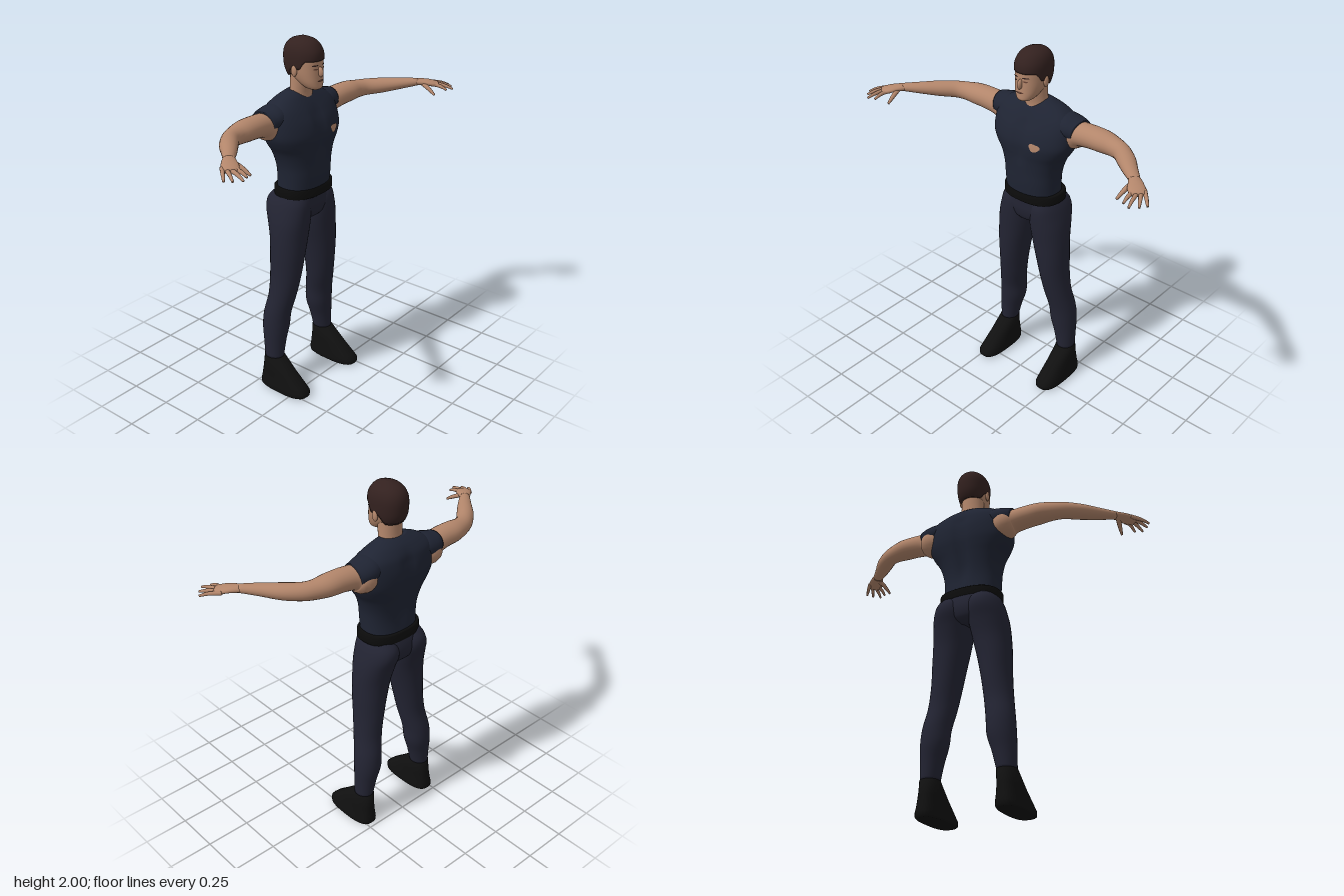
import * as THREE from 'three';

const mat = (name, color, side = THREE.FrontSide) => {
  const m = new THREE.MeshStandardMaterial({ color, side });
  m.name = name;
  return m;
};
const V = (x, y, z) => new THREE.Vector3(x, y, z);
const smooth = THREE.MathUtils.smoothstep;

// Closed smooth skin over a list of rings, with both ends capped
function skinRings(rings) {
  const n = rings[0].length, pos = [], idx = [];
  rings.forEach(r => r.forEach(p => pos.push(p.x, p.y, p.z)));
  for (let i = 0; i < rings.length - 1; i++) for (let j = 0; j < n; j++) {
    const k = (j + 1) % n, a = i * n + j, b = i * n + k, c = a + n, d = b + n;
    idx.push(a, c, b, b, c, d);
  }
  [0, rings.length - 1].forEach((r, end) => {
    const c = rings[r].reduce((s, p) => s.add(p), V(0, 0, 0)).divideScalar(n);
    const ci = pos.length / 3;
    pos.push(c.x, c.y, c.z);
    for (let j = 0; j < n; j++) {
      const a = r * n + j, b = r * n + (j + 1) % n;
      if (end) idx.push(ci, b, a); else idx.push(ci, a, b);
    }
  });
  const g = new THREE.BufferGeometry();
  g.setAttribute('position', new THREE.Float32BufferAttribute(pos, 3));
  g.setIndex(idx);
  g.computeVertexNormals();
  return g;
}

// Catmull-Rom refinement of section rows
function refine(rows, steps = 4) {
  const out = [], at = i => rows[Math.max(0, Math.min(rows.length - 1, i))];
  for (let i = 0; i < rows.length - 1; i++) for (let s = 0; s < steps; s++) {
    const t = s / steps, [a, b, c, d] = [at(i - 1), at(i), at(i + 1), at(i + 2)];
    out.push(b.map((v, k) => v + 0.5 * t * (c[k] - a[k] + t * (2 * a[k] - 5 * v + 4 * c[k] - d[k] + t * (3 * (v - c[k]) + d[k] - a[k])))));
  }
  out.push(at(rows.length - 1));
  return out;
}
function rowAt(rows, y) {
  let i = 0;
  while (i < rows.length - 2 && rows[i + 1][0] < y) i++;
  const a = rows[i], b = rows[i + 1], t = THREE.MathUtils.clamp((y - a[0]) / (b[0] - a[0]), 0, 1);
  return a.map((v, k) => v + (b[k] - v) * t);
}

// Upright sections: [y, centre x, half width, front z, back z, squareness]
const sp = (v, e) => Math.sign(v) * Math.abs(v) ** (2 / e);
function bodyPoint([y, xc, rx, zf, zb, e], a, shape) {
  const p = V(xc + rx * sp(Math.cos(a), e), y, (zf + zb) / 2 + (zf - zb) / 2 * sp(Math.sin(a), e));
  if (shape) shape(p, Math.sin(a));
  return p;
}
const angles = n => Array.from({ length: n }, (_, j) => j / n * Math.PI * 2);
const body = (rows, shape, n = 40) => skinRings(rows.map(r => angles(n).map(a => bodyPoint(r, a, shape))));

// Limb along a path: [x, y, z, horizontal radius, vertical radius]
function limb(path, n = 16, steps = 4) {
  const rows = refine(path, steps);
  return skinRings(rows.map((r, i) => {
    const p = rows[Math.max(0, i - 1)], q = rows[Math.min(rows.length - 1, i + 1)];
    const T = V(q[0] - p[0], q[1] - p[1], q[2] - p[2]).normalize();
    const U = T.clone().cross(V(0, 1, 0)).normalize(), W = U.clone().cross(T);
    return angles(n).map(a => V(r[0], r[1], r[2]).addScaledVector(U, r[3] * Math.cos(a)).addScaledVector(W, r[4] * Math.sin(a)));
  }));
}

function mirrored(g) {
  const m = g.clone().scale(-1, 1, 1), ix = m.index.array;
  for (let i = 0; i < ix.length; i += 3) [ix[i], ix[i + 1]] = [ix[i + 1], ix[i]];
  m.computeVertexNormals();
  return m;
}

// Thin plate lying on the front of a body surface
function patch(rows, shape, x, y, rx, ry, wobble = 0) {
  const put = (px, py) => {
    const r = rowAt(rows, py), c = sp((px - r[1]) / r[2], 4 / r[5]);
    const p = bodyPoint(r, Math.acos(THREE.MathUtils.clamp(c, -1, 1)), null);
    p.x = px;
    const u = Math.abs((px - r[1]) / r[2]);
    p.z = (r[3] + r[4]) / 2 + (r[3] - r[4]) / 2 * (1 - u ** r[5]) ** (1 / r[5]);
    if (shape) shape(p, 1);
    p.z += 0.005;
    return p;
  };
  const pts = [put(x, y), ...angles(18).map(a => {
    const k = 1 + wobble * Math.sin(3 * a + 0.6);
    return put(x + rx * k * Math.cos(a), y + ry * k * Math.sin(a));
  })];
  const g = new THREE.BufferGeometry().setFromPoints(pts), idx = [];
  for (let j = 0; j < 18; j++) idx.push(0, 1 + j, 1 + (j + 1) % 18);
  g.setIndex(idx);
  g.computeVertexNormals();
  return g;
}

export function createModel() {
  const model = new THREE.Group();
  model.name = 'standingMan';
  const skin = mat('skin', 0xb3866b), shirt = mat('shirtNavy', 0x1f2433), cloth = mat('trouserNavy', 0x232433);
  const black = mat('beltBlack', 0x0c0c0c), shoe = mat('shoeBlack', 0x101010), hair = mat('hairBrown', 0x33211f);
  const detail = mat('faceDetail', 0x6b4638, THREE.DoubleSide), bare = mat('chestSkin', 0xb3866b, THREE.DoubleSide);
  const add = (name, g, m) => {
    const mesh = new THREE.Mesh(g, m);
    mesh.name = name;
    model.add(mesh);
  };
  const pair = (name, g, m) => {
    add('left' + name, g, m);
    add('right' + name, mirrored(g), m);
  };

  // Shirt, with chest and spine grooves
  const torso = refine([
    [1.18, 0, .155, 0, -.228, 2.4], [1.27, 0, .158, .007, -.222, 2.4], [1.34, 0, .165, .008, -.228, 2.4],
    [1.41, 0, .188, .012, -.242, 2.4], [1.46, 0, .22, .018, -.254, 2.4], [1.51, 0, .243, .018, -.264, 2.4],
    [1.57, 0, .245, .002, -.266, 2.4], [1.62, 0, .236, -.024, -.258, 2.5], [1.655, 0, .215, -.046, -.246, 2.5],
    [1.69, 0, .165, -.07, -.222, 2.3], [1.712, 0, .115, -.086, -.2, 2.1], [1.725, 0, .082, -.1, -.182, 2]]);
  const groove = (p, s) => {
    const g = Math.exp(-((p.x / .03) ** 2)), h = smooth(p.y, 1.35, 1.47) * (1 - smooth(p.y, 1.58, 1.68));
    if (s > .3) p.z -= .014 * g * h;
    if (s < -.3) p.z += .016 * g * smooth(p.y, 1.2, 1.35) * (1 - smooth(p.y, 1.6, 1.7));
  };
  add('shirt', body(torso, groove, 56), shirt);
  pair('Sleeve', limb([[.12, 1.615, -.15, .07, .06], [.18, 1.612, -.152, .086, .066], [.23, 1.605, -.155, .084, .062], [.268, 1.599, -.152, .072, .06]], 24), shirt);
  add('chestPatch', patch(torso, groove, .1, 1.512, .031, .021, .14), bare);

  // Belt
  add('belt', body([[1.158, .004, .164, .003, -.236, 2.5], [1.162, .004, .172, .008, -.242, 2.5],
    [1.206, .004, .172, .006, -.24, 2.5], [1.212, .004, .162, 0, -.232, 2.5]], null, 40), black);

  // Trousers
  add('trouserSeat', body(refine([[1.015, 0, .07, -.05, -.2, 2], [1.04, 0, .14, -.02, -.235, 2.2], [1.09, 0, .18, -.006, -.25, 2.3],
    [1.14, 0, .172, -.004, -.245, 2.3], [1.19, 0, .155, -.004, -.228, 2.4]]), null), cloth);
  pair('TrouserLeg', body(refine([
    [.195, .215, .05, -.1, -.212, 2], [.29, .204, .062, -.095, -.222, 2], [.38, .19, .075, -.085, -.236, 2],
    [.47, .182, .075, -.076, -.232, 2], [.58, .163, .076, -.052, -.212, 2], [.7, .147, .08, -.03, -.212, 2],
    [.82, .134, .09, -.018, -.215, 2.1], [.92, .12, .1, -.012, -.222, 2.1], [1.01, .108, .103, -.006, -.243, 2.2],
    [1.08, .099, .097, -.003, -.266, 2.2], [1.13, .095, .085, -.006, -.26, 2.2], [1.17, .09, .07, -.02, -.225, 2.2]]), null, 28), cloth);

  // Shoes
  pair('Shoe', body([[.004, .222, .06, .075, -.222, 2.8], [.012, .222, .067, .088, -.232, 2.8], [.035, .221, .066, .09, -.234, 2.8],
    [.06, .22, .063, .066, -.23, 2.6], [.12, .218, .057, -.005, -.222, 2.4], [.2, .215, .052, -.098, -.214, 2.1]], null, 28), shoe);

  // Arms
  pair('Arm', limb([
    [.17, 1.58, -.155, .07, .075], [.225, 1.574, -.158, .084, .08], [.265, 1.588, -.15, .068, .064], [.34, 1.598, -.145, .065, .059],
    [.42, 1.6, -.142, .064, .056], [.49, 1.599, -.132, .052, .049], [.55, 1.6, -.108, .046, .045],
    [.62, 1.604, -.05, .046, .041], [.69, 1.611, .02, .038, .031], [.765, 1.617, .09, .027, .02]], 24), skin);
  // Hands
  pair('Palm', limb([[.75, 1.617, .076, .026, .019], [.785, 1.616, .112, .036, .017], [.815, 1.61, .146, .043, .016], [.842, 1.604, .176, .036, .011]]), skin);
  const fingers = { LittleFinger: [.86, .142, .915, .202], RingFinger: [.85, .163, .893, .236], MiddleFinger: [.833, .178, .857, .266], IndexFinger: [.81, .187, .817, .251] };
  for (const [name, [x, z, tx, tz]] of Object.entries(fingers))
    pair(name, limb([[x - .018, 1.607, z - .022, .01, .01], [x, 1.604, z, .011, .011],
      [(x + tx) / 2, 1.599, (z + tz) / 2, .0095, .0095], [tx, 1.586, tz, .006, .006]], 8, 3), skin);
  pair('Thumb', limb([[.775, 1.613, .11, .016, .012], [.764, 1.6, .15, .013, .012], [.758, 1.582, .185, .01, .01], [.754, 1.565, .213, .006, .006]], 8, 3), skin);

  // Neck and head
  add('neck', body(refine([[1.6, 0, .075, -.075, -.2, 2], [1.67, 0, .074, -.068, -.19, 2], [1.72, 0, .066, -.068, -.178, 2], [1.82, 0, .064, -.05, -.175, 2]]), null, 28), skin);
  const head = refine([[1.738, 0, .024, -.008, -.06, 2.2], [1.748, 0, .043, .004, -.085, 2.2], [1.775, 0, .061, .004, -.125, 2.3],
    [1.81, 0, .073, .002, -.17, 2.3], [1.85, 0, .079, 0, -.2, 2.3], [1.9, 0, .08, -.001, -.205, 2.2],
    [1.95, 0, .071, -.015, -.192, 2.1], [1.98, 0, .045, -.045, -.16, 2], [1.99, 0, .02, -.08, -.125, 2]]);
  add('head', body(head, null, 40), skin);
  add('nose', new THREE.SphereGeometry(1, 14, 10).scale(.012, .027, .019).rotateX(-.18).translate(0, 1.832, .004), skin);
  pair('Ear', new THREE.SphereGeometry(1, 12, 10).scale(.01, .03, .018).translate(.082, 1.836, -.1), skin);
  add('mouth', patch(head, null, 0, 1.788, .024, .005), detail);
  pair('Eye', patch(head, null, .031, 1.849, .012, .004), detail);
  pair('Eyebrow', patch(head, null, .032, 1.868, .018, .0035), hair);

  // Hair cap, its lower edge dropping from the forehead to the nape
  const cap = refine([[1.78, 0, .07, -.002, -.175, 2.2], [1.82, 0, .08, .004, -.203, 2.2], [1.86, 0, .085, .006, -.214, 2.2],
    [1.92, 0, .085, .006, -.215, 2.2], [1.96, 0, .073, -.012, -.2, 2.1], [1.985, 0, .05, -.04, -.17, 2], [2, 0, .014, -.088, -.122, 2]]);
  const hairRings = Array.from({ length: 21 }, (_, i) => angles(40).map(a => {
    const s = Math.sin(a), edge = 1.845 + .045 * smooth(s, .25, .6) - .045 * smooth(-s, .1, .6);
    const y = edge + (2 - edge) * Math.sin(i / 20 * Math.PI / 2);
    return bodyPoint(rowAt(cap, y), a);
  }));
  add('hair', skinRings(hairRings), hair);
  return model;
}
